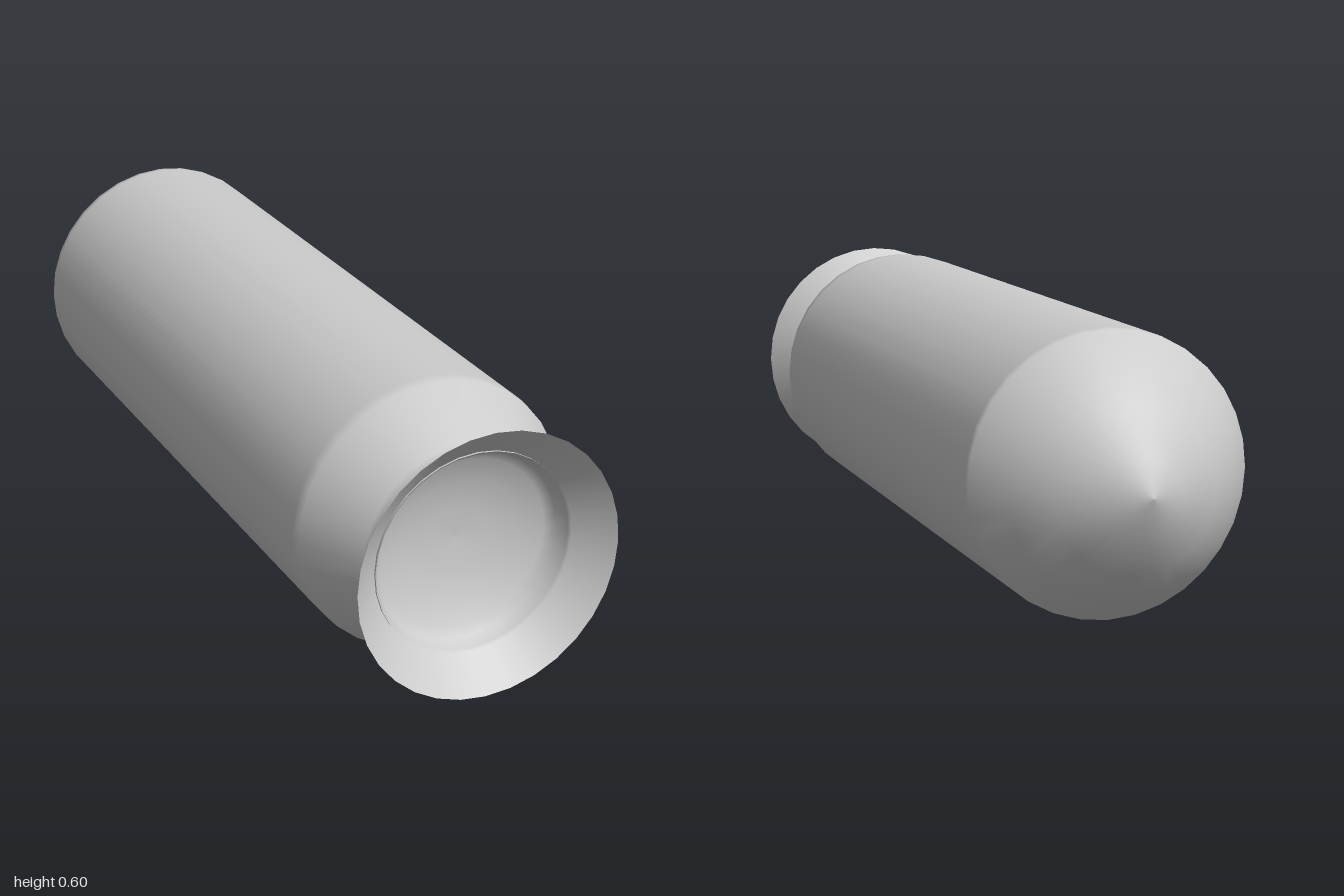
import * as THREE from 'three';

const SIDES = 32;
const AXIS_HEIGHT = 0.3;

// Revolve [radius, z] points around the long axis
function revolve(name, profile) {
  const points = profile.map(([r, z]) => new THREE.Vector2(r, z));
  const geometry = new THREE.LatheGeometry(points, SIDES);
  geometry.rotateX(Math.PI / 2);
  const material = new THREE.MeshStandardMaterial({ color: 0xcccccc, side: THREE.DoubleSide });
  const mesh = new THREE.Mesh(geometry, material);
  mesh.name = name;
  mesh.position.y = AXIS_HEIGHT;
  return mesh;
}

export function createModel() {
  const group = new THREE.Group();
  group.name = 'capsule';

  // Pointed dome at the back
  group.add(revolve('nose', [
    [0, -1], [0.07, -0.98], [0.17, -0.915], [0.24, -0.845], [0.298, -0.765], [0.3, -0.75],
  ]));

  // Long barrel tapering to the neck
  group.add(revolve('barrel', [
    [0.3, -0.75], [0.3, 0.72], [0.298, 0.75], [0.225, 0.89], [0.22, 0.9], [0.22, 0.935],
  ]));

  // Shallow dished plate closing the neck
  group.add(revolve('endPlate', [
    [0.22, 0.935], [0.215, 0.93], [0.205, 0.9], [0.185, 0.885], [0.13, 0.865], [0.07, 0.853], [0, 0.85],
  ]));

  // Thin open flare at the front
  group.add(revolve('flare', [[0.22, 0.93], [0.255, 0.965], [0.29, 1]]));

  return group;
}
